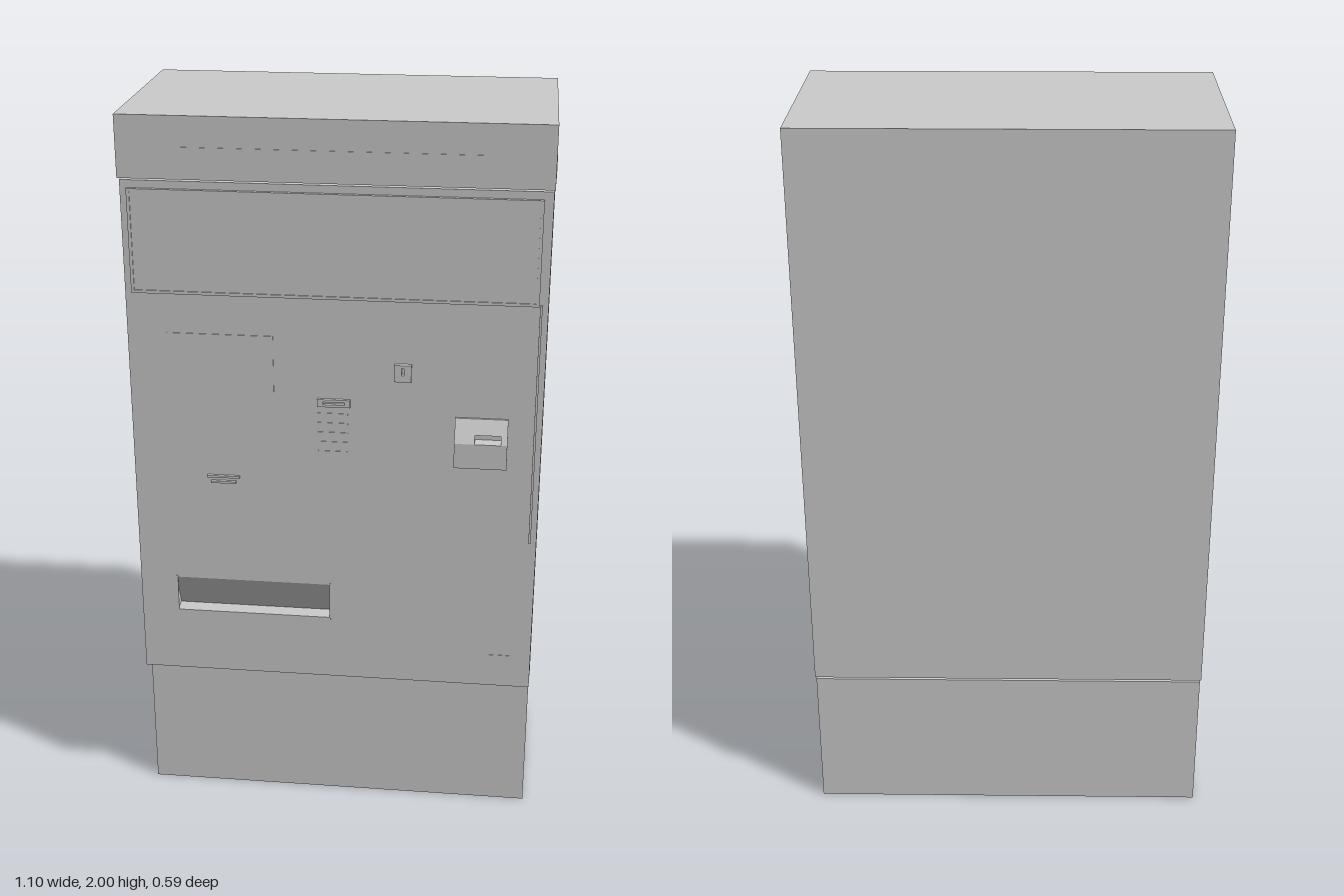
import * as THREE from 'three';

export function createModel() {
  const model = new THREE.Group();
  const grey = new THREE.MeshStandardMaterial({ color: 0xcccccc });

  const add = (name, geometry) => {
    const mesh = new THREE.Mesh(geometry, grey);
    mesh.name = name;
    model.add(mesh);
    return mesh;
  };

  // Box given by its extents on each axis
  const box = (name, x0, x1, y0, y1, z0, z1) =>
    add(name, new THREE.BoxGeometry(x1 - x0, y1 - y0, z1 - z0)
      .translate((x0 + x1) / 2, (y0 + y1) / 2, (z0 + z1) / 2));

  // Side profile of [z, y] points, extruded across x
  const prism = (name, x0, x1, points) => {
    const shape = new THREE.Shape(points.map(([z, y]) => new THREE.Vector2(z, y)));
    return add(name, new THREE.ExtrudeGeometry(shape, { depth: x1 - x0, bevelEnabled: false })
      .rotateY(-Math.PI / 2).translate(x1, 0, 0));
  };

  const rect = (Type, x0, x1, y0, y1) => new Type([
    new THREE.Vector2(x0, y0), new THREE.Vector2(x1, y0),
    new THREE.Vector2(x1, y1), new THREE.Vector2(x0, y1)]);

  // Panel in the front plane with rectangular holes [x0, x1, y0, y1]
  const panel = (name, outer, holes, z0, z1) => {
    const shape = rect(THREE.Shape, ...outer);
    shape.holes = holes.map(h => rect(THREE.Path, ...h));
    return add(name, new THREE.ExtrudeGeometry(shape, { depth: z1 - z0, bevelEnabled: false })
      .translate(0, 0, z0));
  };

  // Plinth, shadow gap, and cabinet with its overhanging head
  box('plinth', -0.543, 0.543, 0, 0.408, -0.287, 0.2);
  box('plinthGap', -0.53, 0.53, 0.408, 0.42, -0.275, 0.19);
  prism('cabinet', -0.545, 0.545, [
    [-0.297, 0.42], [0.2, 0.42], [0.2, 1.84], [0.278, 1.84], [0.278, 2], [-0.297, 2]]);
  box('headTrim', -0.4, 0.4, 1.916, 1.922, 0.278, 0.2795);

  // Front door, held off the cabinet by a recessed seam
  const trayHole = [-0.443, -0.012, 0.608, 0.71];
  box('doorSeam', -0.53, 0.53, 0.43, 1.84, 0.2, 0.209);
  panel('door', [-0.543, 0.543, 0.42, 1.832], [trayHole], 0.209, 0.262);
  box('doorHandleStrip', 0.522, 0.528, 0.87, 1.54, 0.262, 0.266);

  // Sign window with a narrow border
  panel('signFrame', [-0.525, 0.52, 1.538, 1.812], [[-0.517, 0.512, 1.546, 1.804]], 0.262, 0.272);
  box('signWindow', -0.517, 0.512, 1.546, 1.804, 0.262, 0.269);

  // Display screen
  box('screen', -0.44, -0.16, 1.23, 1.43, 0.262, 0.264);

  // Delivery tray: flap sloping inwards towards the bottom
  prism('trayFlap', -0.443, -0.012, [[0.209, 0.608], [0.218, 0.608], [0.26, 0.71], [0.209, 0.71]]);
  box('trayLip', -0.443, -0.012, 0.602, 0.609, 0.262, 0.265);
  for (const x of [-0.443, -0.015]) box('trayEdge', x, x + 0.004, 0.608, 0.715, 0.262, 0.265);

  // Card reader mouth and the speaker slats below it
  panel('cardReader', [-0.045, 0.042, 1.242, 1.263], [[-0.03, 0.027, 1.249, 1.256]], 0.262, 0.271);
  for (let i = 0; i < 5; i++) {
    const y = 1.11 + i * 0.027;
    box('speakerSlat', -0.045, 0.035, y, y + 0.004, 0.262, 0.2635);
  }

  // Coin inlet with a short vertical slot
  panel('coinInlet', [0.157, 0.201, 1.322, 1.368], [[0.176, 0.182, 1.34, 1.36]], 0.262, 0.275);

  // Ticket slot: two lips
  box('ticketSlotLip', -0.345, -0.257, 1.023, 1.029, 0.262, 0.27);
  box('ticketSlotLip', -0.335, -0.267, 1.007, 1.013, 0.262, 0.27);

  // Banknote reader: sloped hood with an open notch in the middle
  const hood = [[0.262, 1.096], [0.296, 1.096], [0.296, 1.165], [0.268, 1.226], [0.262, 1.226]];
  prism('noteReaderSide', 0.317, 0.37, hood);
  prism('noteReaderSide', 0.438, 0.455, hood);
  prism('noteReaderMouth', 0.37, 0.438, [
    [0.262, 1.096], [0.296, 1.096], [0.296, 1.165], [0.268, 1.168],
    [0.268, 1.186], [0.286, 1.187], [0.268, 1.226], [0.262, 1.226]]);

  // Small maker-free badge marks low on the door
  for (const x of [0.43, 0.455, 0.475]) box('doorStud', x, x + 0.01, 0.51, 0.518, 0.262, 0.2635);

  // Shallow domed discs on both sides near the top
  for (const side of [-1, 1]) {
    for (const z of [0.053, -0.163]) {
      const disc = add('sideDisc', new THREE.SphereGeometry(1, 32, 16));
      disc.scale.set(0.005, 0.072, 0.072);
      disc.position.set(side * 0.545, 1.845, z);
    }
  }

  // Small plate low on one side
  box('sidePlate', -0.549, -0.545, 0.475, 0.53, 0.06, 0.19);

  return model;
}
